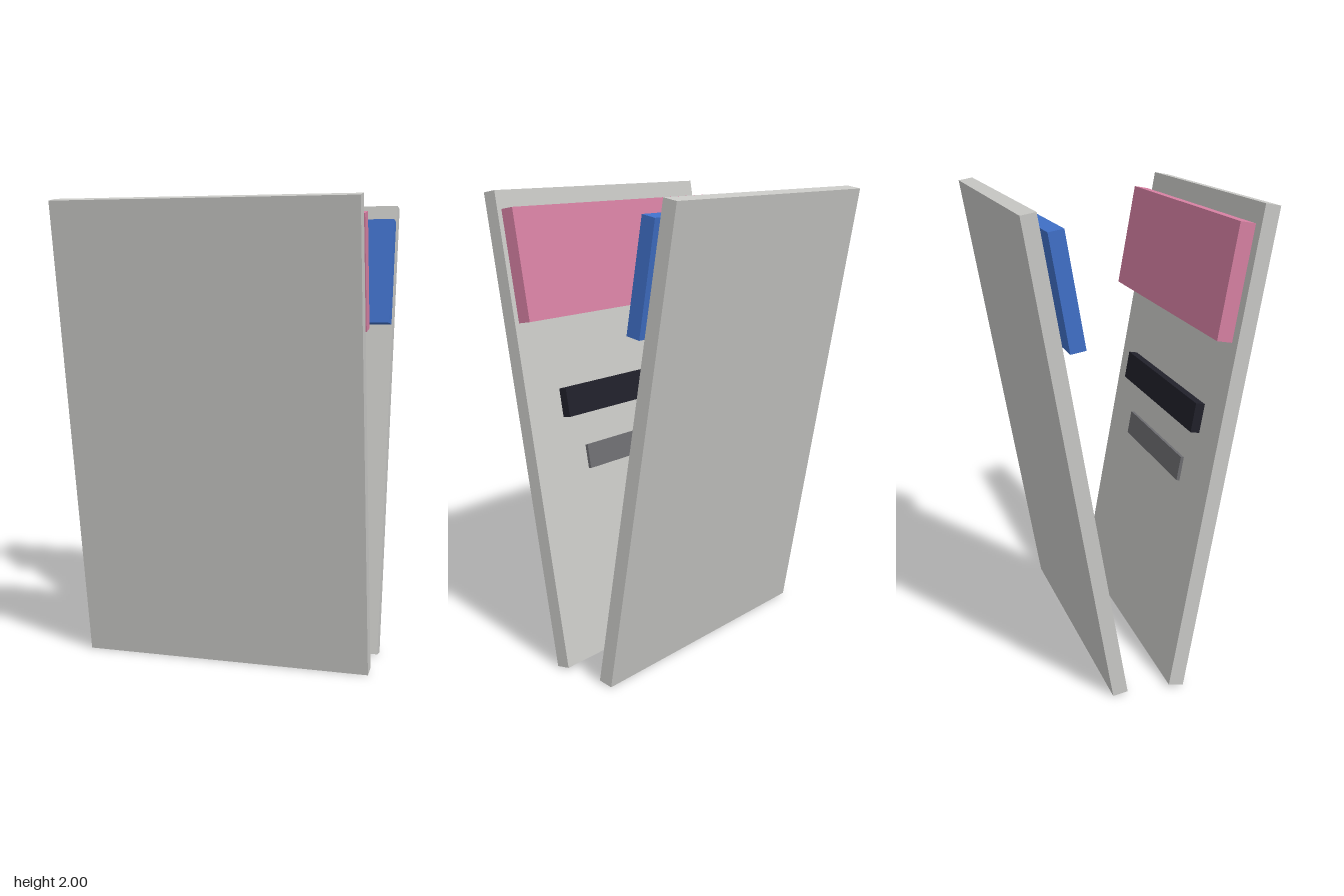
import * as THREE from 'three';

const material = (name, color) => {
  const m = new THREE.MeshStandardMaterial({ color });
  m.name = name;
  return m;
};

export function createModel() {
  const lightGrey = material('light grey', 0xc8c8c5);
  const pink = material('pink', 0xd680a2);
  const blue = material('blue', 0x4070c8);
  const black = material('near black', 0x20202a);
  const darkGrey = material('dark grey', 0x6c6c70);
  const tilt = THREE.MathUtils.degToRad(10);

  const slab = (name, [w, h, d], y, z, mat) => {
    const mesh = new THREE.Mesh(new THREE.BoxGeometry(w, h, d), mat);
    mesh.name = name;
    mesh.position.set(0, y, z);
    mesh.rotation.x = tilt;
    return mesh;
  };

  // One leaning board with the plates on its inner face
  const board = (name, headerMat) => {
    const g = new THREE.Group();
    g.name = name;
    g.add(
      slab('panel', [1.274, 2.02, 0.0635], 1, 0.2975, lightGrey),
      slab('headerPlate', [1.274, 0.463, 0.0635], 1.704, 0.332, headerMat),
      slab('upperBar', [0.89, 0.124, 0.0425], 1.111, 0.267, black),
      slab('lowerBar', [0.68, 0.104, 0.022], 0.856, 0.237, darkGrey),
    );
    return g;
  };

  // Two boards opening upward in a V, plates facing each other
  const model = new THREE.Group();
  model.name = 'pairedBoards';
  const front = board('frontBoard', pink);
  const back = board('backBoard', blue);
  back.rotation.y = Math.PI;
  model.add(front, back);
  return model;
}
